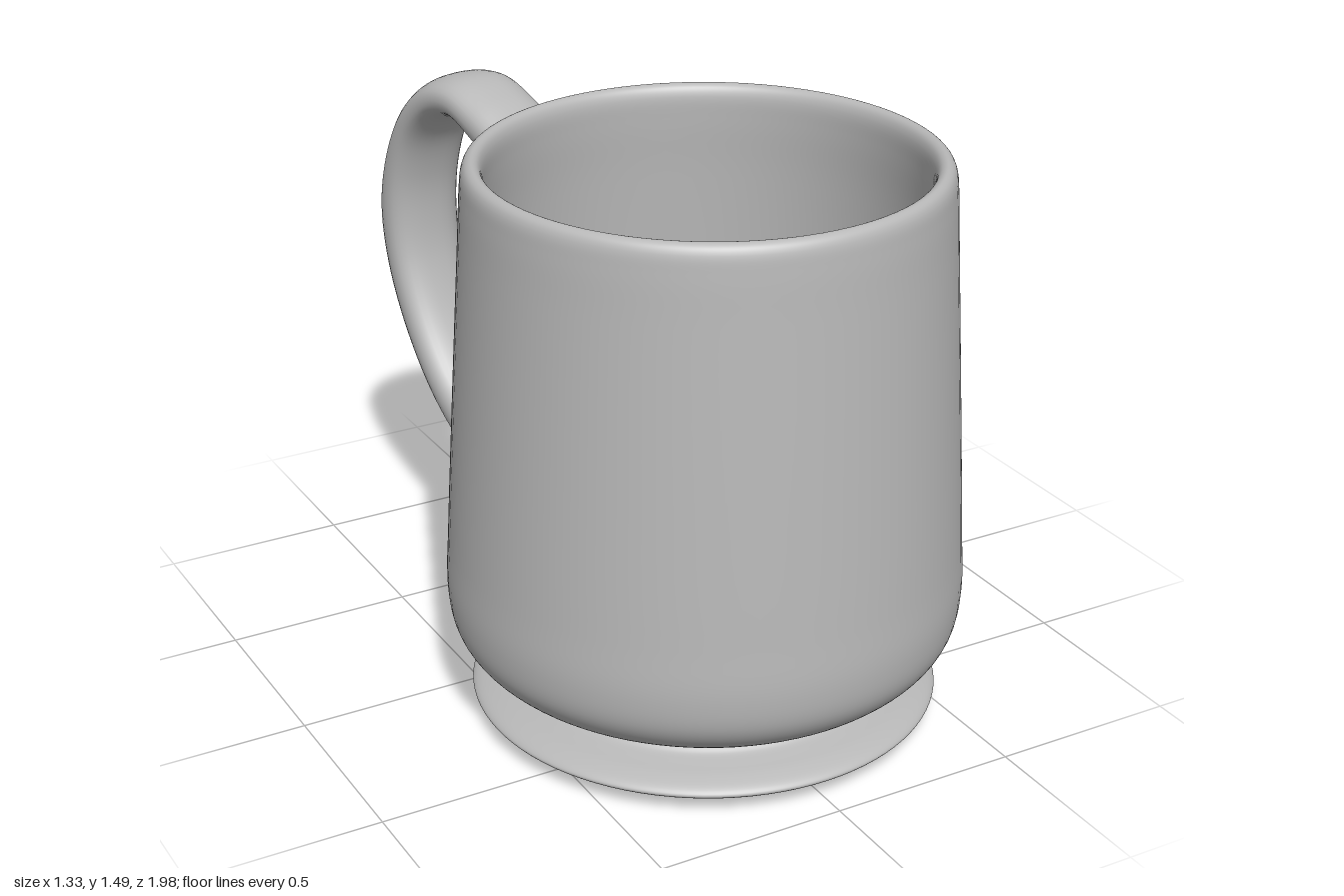
import * as THREE from 'three';

// Smooth profile through a few points, as Vector2 samples
const smooth = (pts, n) =>
  new THREE.CatmullRomCurve3(pts.map(([x, y]) => new THREE.Vector3(x, y, 0)), false, 'centripetal')
    .getPoints(n).map(p => new THREE.Vector2(Math.max(p.x, 0), p.y));

// Loft through stations: [outer distance, outer y, inner distance, inner y, half width]
function handleGeometry(stations, steps, sides) {
  const curve = f => new THREE.CatmullRomCurve3(stations.map(f));
  const outer = curve(s => new THREE.Vector3(s[4], s[1], -s[0]));
  const inner = curve(s => new THREE.Vector3(s[4], s[3], -s[2]));
  const round = v => Math.sign(v) * Math.abs(v) ** 0.85;
  const pos = [], idx = [];
  for (let i = 0; i <= steps; i++) {
    const o = outer.getPoint(i / steps), n = inner.getPoint(i / steps);
    for (let j = 0; j < sides; j++) {
      const a = (j / sides) * Math.PI * 2;
      const p = n.clone().lerp(o, 0.5 + 0.5 * round(Math.cos(a)));
      pos.push(o.x * round(Math.sin(a)), p.y, p.z);
      if (i === steps) continue;
      const k = (j + 1) % sides, r = i * sides, q = r + sides;
      idx.push(r + j, r + k, q + j, r + k, q + k, q + j);
    }
  }
  const g = new THREE.BufferGeometry();
  g.setAttribute('position', new THREE.Float32BufferAttribute(pos, 3));
  g.setIndex(idx);
  g.computeVertexNormals();
  return g;
}

export function createModel() {
  const grey = new THREE.MeshStandardMaterial({ color: 0xb8b8b8 });
  grey.name = 'grey glaze';
  const mug = new THREE.Group();
  mug.name = 'mug';
  mug.position.z = 0.333;
  const add = (name, geometry) => {
    const mesh = new THREE.Mesh(geometry, grey);
    mesh.name = name;
    mug.add(mesh);
    return mesh;
  };

  // Lens-shaped foot
  add('foot', new THREE.LatheGeometry(smooth([
    [0, 0.003], [0.25, 0.008], [0.45, 0.022], [0.56, 0.038], [0.6, 0.05], [0.608, 0.06],
    [0.598, 0.072], [0.56, 0.088], [0.52, 0.098], [0.49, 0.107], [0.475, 0.118],
  ], 50), 96));

  // Wall: neck, rounded shoulder, tapering side, rim and inside
  add('wall', new THREE.LatheGeometry(smooth([
    [0.475, 0.116], [0.5, 0.132], [0.55, 0.163], [0.6, 0.197], [0.635, 0.235], [0.656, 0.28],
    [0.666, 0.36], [0.66, 0.5], [0.64, 0.85], [0.613, 1.3], [0.606, 1.42], [0.6, 1.47],
    [0.59, 1.488], [0.575, 1.495], [0.56, 1.488], [0.55, 1.465], [0.55, 1.4], [0.56, 1.25],
    [0.58, 0.8], [0.59, 0.5], [0.575, 0.37], [0.53, 0.28], [0.43, 0.22],
  ], 120), 96));

  // Flat inside floor
  const floor = add('floor', new THREE.CircleGeometry(0.43, 96));
  floor.rotation.x = -Math.PI / 2;
  floor.position.y = 0.22;

  // Ear-shaped handle, flared where it meets the wall at the top
  const handle = add('handle', handleGeometry([
    [0.58, 1.46, 0.59, 0.98, 0.2],
    [0.61, 1.4, 0.643, 1.06, 0.15],
    [0.66, 1.38, 0.685, 1.15, 0.123],
    [0.74, 1.39, 0.74, 1.225, 0.116],
    [0.84, 1.43, 0.85, 1.295, 0.115],
    [0.96, 1.46, 0.97, 1.345, 0.115],
    [1.08, 1.435, 1.06, 1.32, 0.115],
    [1.2, 1.34, 1.14, 1.24, 0.115],
    [1.29, 1.19, 1.185, 1.12, 0.115],
    [1.333, 1.02, 1.197, 1.0, 0.115],
    [1.31, 0.84, 1.18, 0.86, 0.113],
    [1.23, 0.65, 1.11, 0.69, 0.11],
    [1.1, 0.47, 1.01, 0.56, 0.108],
    [0.93, 0.33, 0.85, 0.45, 0.105],
    [0.74, 0.235, 0.69, 0.37, 0.1],
    [0.6, 0.18, 0.6, 0.33, 0.1],
  ], 90, 32));
  handle.rotation.y = THREE.MathUtils.degToRad(10);

  const model = new THREE.Group();
  model.name = 'model';
  model.add(mug);
  return model;
}
